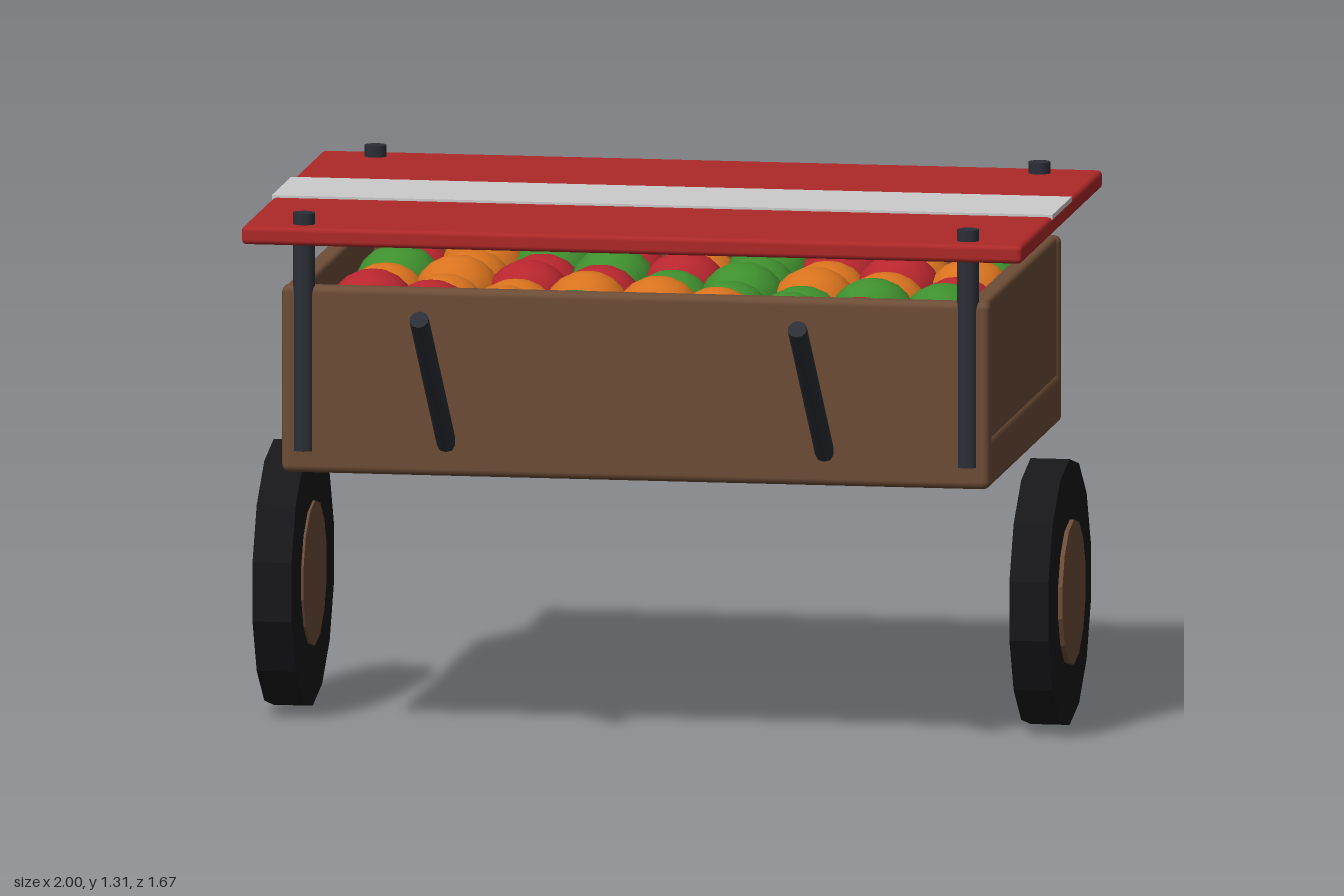
import * as THREE from 'three';
import { RoundedBoxGeometry } from 'three/addons/geometries/RoundedBoxGeometry.js';

const mat = (color, flatShading = false) => new THREE.MeshStandardMaterial({ color, flatShading });

export function createModel() {
  const root = new THREE.Group();
  const wood = mat(0x6d4d37), iron = mat(0x2b2f36), rubber = mat(0x17171a, true);
  const woodFlat = mat(0x6d4d37, true), red = mat(0xad2828), grey = mat(0xcccccc), brass = mat(0xc58a2c);
  const midZ = -0.145;

  const add = (name, geometry, material, x, y, z, parent = root) => {
    const mesh = new THREE.Mesh(geometry, material);
    mesh.name = name;
    mesh.position.set(x, y, z);
    parent.add(mesh);
    return mesh;
  };
  const slab = (name, w, h, d, r, material, x, y, z, parent) =>
    add(name, new RoundedBoxGeometry(w, h, d, 2, r), material, x, y, z, parent);

  // Open wooden tray: floor, end walls and slightly recessed side panels
  const tray = new THREE.Group();
  tray.name = 'tray';
  root.add(tray);
  slab('floor', 1.76, 0.125, 1.11, 0.018, wood, 0, 0.7275, midZ, tray);
  for (const s of [1, -1]) {
    slab(s > 0 ? 'frontWall' : 'backWall', 1.76, 0.465, 0.05, 0.018, wood, 0, 0.8975, midZ + s * 0.53, tray);
    slab('sideWall', 0.05, 0.39, 1.05, 0.012, wood, s * 0.848, 0.935, midZ, tray);
  }

  // Fruit and vegetables heaped just below the rim
  const produce = new THREE.Group();
  produce.name = 'produce';
  root.add(produce);
  const produceMats = [0xb8262e, 0xd9731e, 0x3f8f2e].map((c) => mat(c));
  const ball = new THREE.SphereGeometry(0.11, 14, 10);
  for (let i = 0; i < 9; i++) {
    for (let j = 0; j < 5; j++) {
      const k = (i * 7 + j * 5 + ((i * j) % 4)) % 3;
      const fruit = add('fruit', ball, produceMats[k], -0.71 + i * 0.1775, 1.0 + ((i * 3 + j * 2) % 4) * 0.008,
        midZ - 0.4 + j * 0.2, produce);
      fruit.scale.y = 0.95;
    }
  }

  // Roof board with a pale stripe across it
  slab('roof', 1.94, 0.045, 1.23, 0.012, red, 0, 1.2595, -0.15);
  add('roofStripe', new THREE.BoxGeometry(1.94, 0.012, 0.295), grey, 0, 1.282, -0.1475);

  // Four roof posts, their tops showing above the roof
  const post = new THREE.CylinderGeometry(0.0275, 0.0275, 0.59, 12);
  for (const x of [-0.825, 0.825])
    for (const z of [0.395, -0.69]) add('post', post, iron, x, 1.015, z);

  // Sloping push handles on the front
  const low = new THREE.Vector3(0, 0.745, 0.4), high = new THREE.Vector3(0, 1.118, 0.818);
  const along = high.clone().sub(low);
  const bar = new THREE.CylinderGeometry(0.024, 0.024, along.length(), 10);
  bar.rotateX(Math.atan2(along.z, along.y));
  const middle = low.clone().add(high).multiplyScalar(0.5);
  for (const x of [-0.47, 0.47]) add('handle', bar, iron, x, middle.y, middle.z);

  // Two wheels: faceted tyre with a wooden hub standing proud
  const disc = (r, width) => new THREE.CylinderGeometry(r, r, width, 14).rotateY(Math.PI / 2).rotateZ(Math.PI / 2);
  const tyre = disc(0.33, 0.097), hub = disc(0.18, 0.114);
  for (const s of [1, -1]) {
    const wheel = new THREE.Group();
    wheel.name = s > 0 ? 'leftWheel' : 'rightWheel';
    wheel.position.set(s * 0.9425, 0.33, midZ);
    root.add(wheel);
    add('tyre', tyre, rubber, -s * 0.002, 0, 0, wheel);
    add('hub', hub, woodFlat, s * 0.0005, 0, 0, wheel);
  }

  // Brass bell hanging under the back edge of the roof
  add('bell', new THREE.SphereGeometry(0.08, 16, 12), brass, 0, 1.157, -0.755);

  return root;
}
